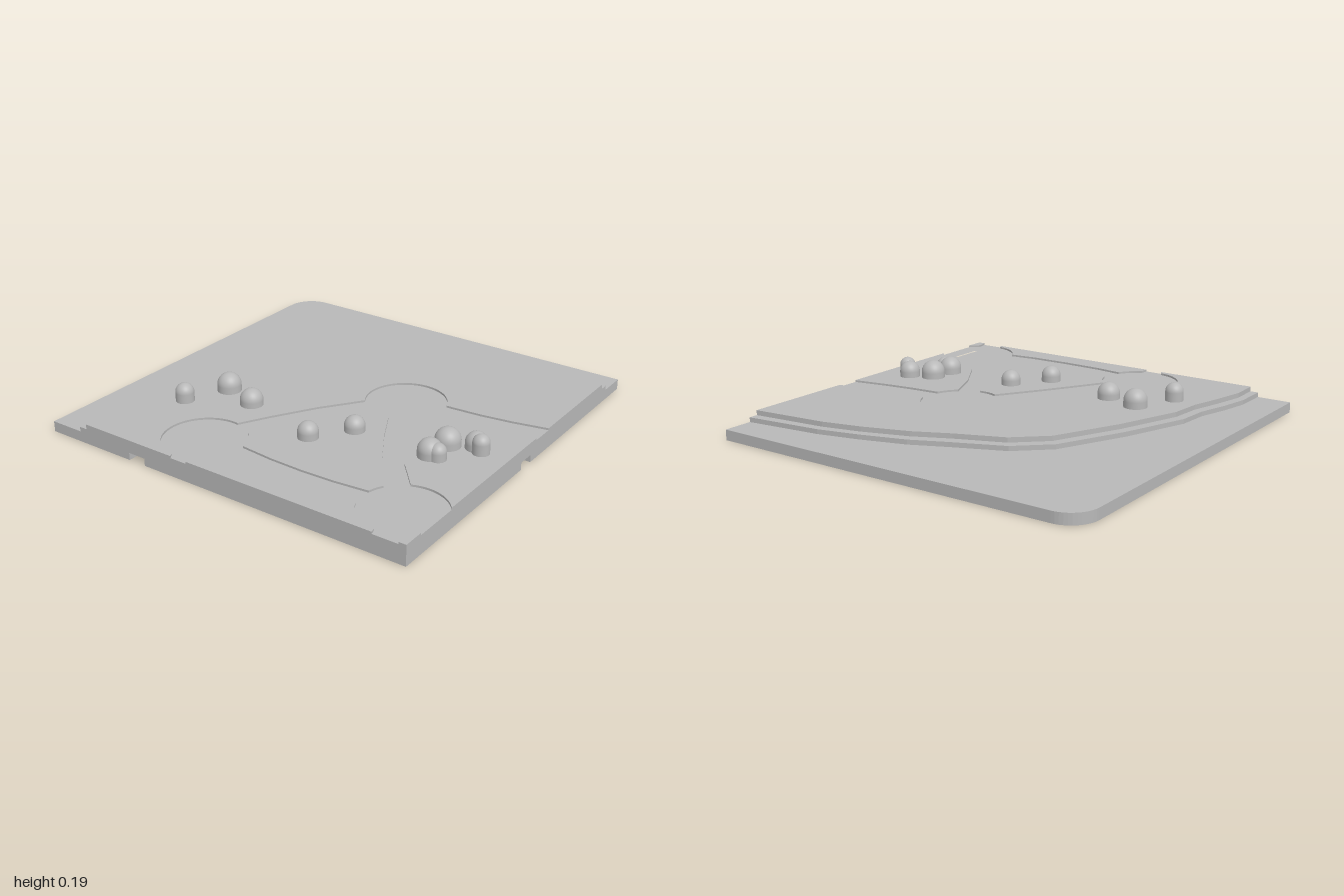
import * as THREE from 'three';

const stone = new THREE.MeshStandardMaterial({ color: 0xb8b8b8 });
stone.name = 'plain grey';

// Plan points are [x, z]; a slab is a plan outline raised from y0 to y1
const toVectors = (pts) => pts.map(([x, z]) => new THREE.Vector2(x, -z));
function slab(name, outline, y0, y1, holes = []) {
  const shape = new THREE.Shape(toVectors(outline));
  for (const h of holes) shape.holes.push(new THREE.Path(toVectors(h)));
  const geo = new THREE.ExtrudeGeometry(shape, { depth: y1 - y0, bevelEnabled: false });
  geo.rotateX(-Math.PI / 2).translate(0, y0, 0);
  const mesh = new THREE.Mesh(geo, stone);
  mesh.name = name;
  return mesh;
}

// Arc about c, from point a to point b; dir +1 turns from +x towards +z
function arc(c, a, b, dir, r = 0.2, steps = 20) {
  const s = Math.atan2(a[1] - c[1], a[0] - c[0]);
  let e = Math.atan2(b[1] - c[1], b[0] - c[0]);
  while ((e - s) * dir < 0) e += dir * Math.PI * 2;
  return Array.from({ length: steps + 1 }, (_, i) => {
    const t = s + ((e - s) * i) / steps;
    return [c[0] + r * Math.cos(t), c[1] + r * Math.sin(t)];
  });
}

// Zigzag ribbon outline of constant width
function zigzag(x0, z0, dx, dz, width) {
  const line = [0, 1, 2, 3, 4].map((i) => [x0 + i * dx, z0 - (i % 2) * dz]);
  return [
    ...line.map(([x, z]) => [x, z - width / 2]),
    ...line.map(([x, z]) => [x, z + width / 2]).reverse(),
  ];
}

// Tree: round trunk body with a domed top
function tree(x, z, r, top) {
  const shoulder = top - r;
  const profile = [new THREE.Vector2(r, 0.09)];
  for (let i = 0; i <= 12; i++) {
    const a = (i / 12) * Math.PI / 2;
    profile.push(new THREE.Vector2(i === 12 ? 0 : r * Math.cos(a), shoulder + r * Math.sin(a)));
  }
  const mesh = new THREE.Mesh(new THREE.LatheGeometry(profile, 32), stone);
  mesh.position.set(x, 0, z);
  mesh.name = 'tree';
  return mesh;
}

export function createModel() {
  const group = new THREE.Group();
  group.name = 'landscapeTile';

  // Base with one rounded corner, and connector notches underneath
  const corner = arc([-0.86, -0.86], [-1, -0.86], [-0.86, -1], 1, 0.14, 12);
  const plan = [...corner, [1, -1], [1, 1], [-1, 1]];
  const notched = [
    ...corner, [1, -1],
    [1, -0.045], [0.85, -0.045], [0.85, 0.045], [1, 0.045],
    [1, 1],
    [-0.41, 1], [-0.41, 0.85], [-0.505, 0.85], [-0.505, 1],
    [-1, 1],
  ];
  const waves = [zigzag(-0.57, -0.665, 0.0425, 0.026, 0.02), zigzag(-0.39, -0.682, 0.044, 0.026, 0.02)];
  group.add(slab('baseBottom', notched, 0, 0.037));
  group.add(slab('baseMiddle', plan, 0.037, 0.042));
  group.add(slab('waterSurface', plan, 0.042, 0.053, waves));

  // Shoreline steps, pierced by the square sockets
  const pads = [[0.302, -0.08], [-0.24, 0.777], [0.84, 0.777]];
  const h = 0.113;
  const sockets = pads.map(([x, z]) => [[x - h, z - h], [x + h, z - h], [x + h, z + h], [x - h, z + h]]);
  const outerShore = [
    [-0.82, 1], [-0.82, 0.82], [-0.79, 0.67], [-0.745, 0.51], [-0.733, 0.345], [-0.61, 0], [-0.45, -0.345],
    [-0.29, -0.49], [-0.03, -0.6], [0.145, -0.68], [0.38, -0.75], [0.594, -0.8], [1, -0.847],
  ];
  const innerShore = [
    [-0.777, 1], [-0.78, 0.847], [-0.743, 0.68], [-0.7, 0.52], [-0.685, 0.355], [-0.567, 0.024], [-0.41, -0.313],
    [-0.257, -0.452], [-0.016, -0.548], [0.166, -0.634], [0.4, -0.71], [0.604, -0.757], [1, -0.8],
  ];
  group.add(slab('beachStep', [...outerShore, [1, 1]], 0.053, 0.077, sockets));
  group.add(slab('pathBed', [...innerShore, [1, 1]], 0.077, 0.092, sockets));

  // Raised land between the sunken paths and round clearings
  const [p1, p2, p3] = pads;
  const land = {
    mainLand: [
      ...innerShore, [1, -0.215], [0.83, -0.18], [0.67, -0.157],
      ...arc(p1, [0.493, -0.145], [0.134, 0.035], -1, 0.2, 40),
      [-0.005, 0.227], [-0.128, 0.43],
      ...arc(p2, [-0.21, 0.577], [-0.26, 0.978], -1, 0.2, 40),
      [-0.245, 1],
    ],
    rightLand: [
      [1, -0.095], [0.83, -0.063], [0.67, -0.04],
      ...arc(p1, [0.493, -0.025], [0.434, 0.07], 1),
      [0.513, 0.255], [0.64, 0.457],
      ...arc(p3, [0.76, 0.595], [1, 0.657], 1),
    ],
    frontLand: [
      [-0.155, 1],
      ...arc(p2, [-0.15, 0.955], [-0.06, 0.86], -1),
      [0.085, 0.877], [0.3, 0.882], [0.51, 0.877],
      ...arc(p3, [0.657, 0.86], [0.83, 0.975], -1),
      [0.835, 1],
    ],
    cornerLand: [[1, 0.895], [0.975, 0.922], [0.95, 0.945], [0.963, 1], [1, 1]],
    islandLand: [
      ...arc(p2, [-0.1, 0.627], [-0.042, 0.74], 1),
      [0.13, 0.757], [0.3, 0.762], [0.47, 0.757],
      ...arc(p3, [0.645, 0.74], [0.67, 0.67], 1),
      [0.53, 0.47], [0.42, 0.29],
      ...arc(p1, [0.33, 0.118], [0.225, 0.105], 1),
      [0.09, 0.31], [-0.02, 0.49],
    ],
  };
  for (const [name, outline] of Object.entries(land)) group.add(slab(name, outline, 0.092, 0.102));

  // Trees: x, z, radius, top height
  const trees = [
    [-0.475, 0.323, 0.06, 0.195], [-0.285, 0.383, 0.057, 0.185], [-0.575, 0.537, 0.046, 0.194],
    [0.277, 0.32, 0.05, 0.178], [0.143, 0.5, 0.05, 0.183], [0.705, 0.2, 0.062, 0.194],
    [0.69, 0.33, 0.058, 0.19], [0.735, 0.335, 0.04, 0.18], [0.822, 0.145, 0.053, 0.184],
    [0.862, 0.175, 0.041, 0.195],
  ];
  for (const t of trees) group.add(tree(...t));

  return group;
}
